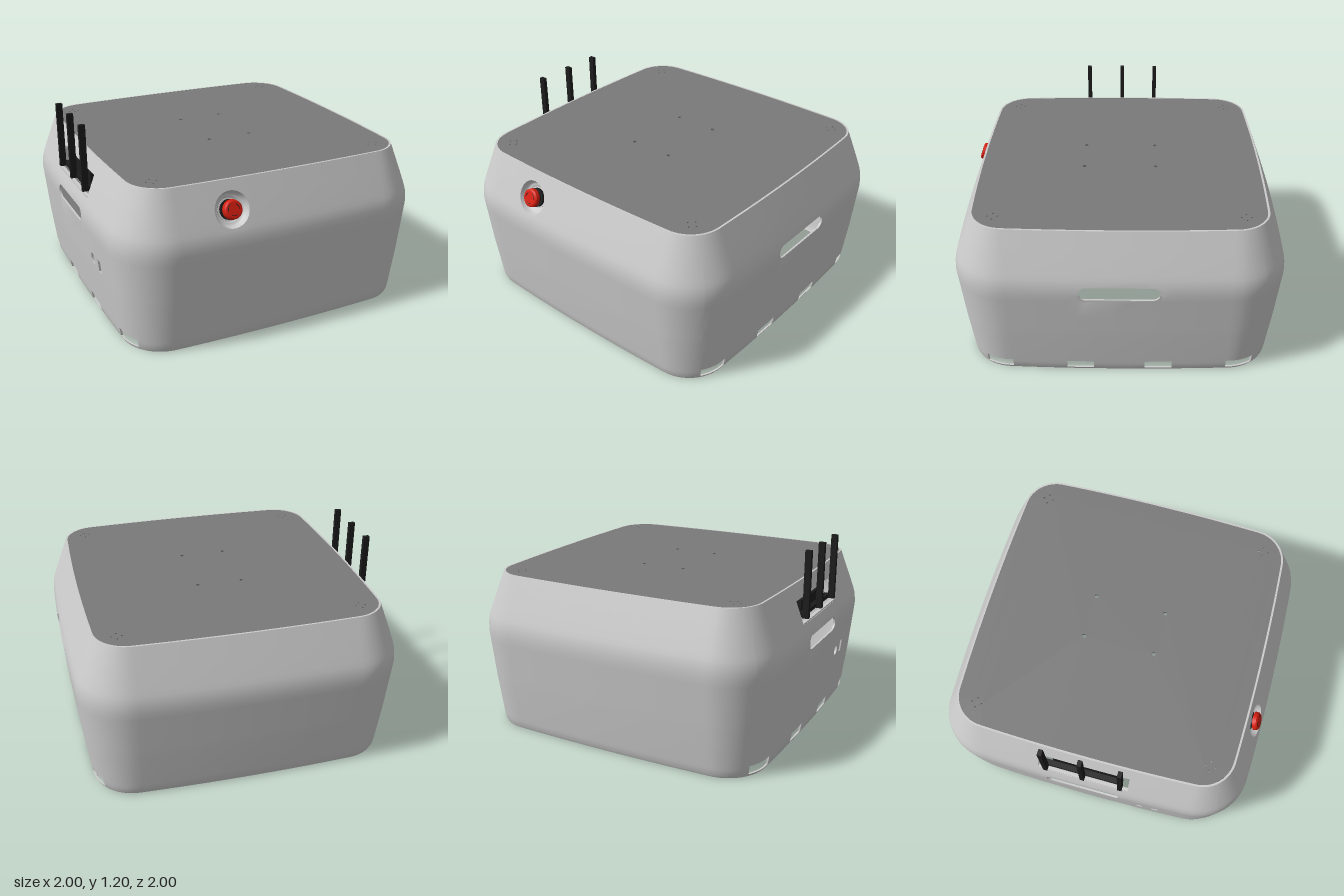
import * as THREE from 'three';
import { toCreasedNormals } from 'three/addons/utils/BufferGeometryUtils.js';

const HALF = 0.66, ARC = 0.48, PERIOD = 2 * HALF + ARC; // flat side, corner, one side + one corner
const CORNER = 0.325, BOW = 0.015, WALL = 0.012, TOP = 0.99;
const PROFILE = [[0, 0.075], [0.015, 0.068], [0.05, 0.062], [0.3, 0.031], [0.62, 0], [0.66, 0.002], [0.69, 0.006],
  [0.72, 0.014], [0.75, 0.025], [0.8, 0.043], [0.9, 0.081], [TOP, 0.115]];

const mat = (color, side = THREE.FrontSide) => new THREE.MeshStandardMaterial({ color, side });
const grey = mat(0xcccccc), black = mat(0x1c1c1c), red = mat(0xd81e10), darkGrey = mat(0x7a7a7a);

function mesh(name, geometry, material, x = 0, y = 0, z = 0) {
  const m = new THREE.Mesh(geometry, material);
  m.name = name;
  m.position.set(x, y, z);
  return m;
}

// Inset of the wall at height y
function insetAt(y) {
  const i = Math.max(1, PROFILE.findIndex((p) => p[0] >= y - 1e-6));
  const [y0, d0] = PROFILE[i - 1], [y1, d1] = PROFILE[i];
  return d0 + (d1 - d0) * (y - y0) / (y1 - y0);
}

// Point on the rounded-square wall: s runs round it (front, +x, back, -x)
function wallPoint(s, y, inward = 0) {
  const d = insetAt(y) + inward, k = Math.floor((s + HALF) / PERIOD + 1e-9), u = s - k * PERIOD;
  let x = u, z = 1 - BOW * (u / HALF) ** 2 - d;
  if (u > HALF) {
    const a = (u - HALF) / ARC * Math.PI / 2;
    x = HALF + (CORNER - d) * Math.sin(a);
    z = HALF + (CORNER - d) * Math.cos(a);
  }
  for (let i = 0; i < k % 4; i++) [x, z] = [z, -x];
  return new THREE.Vector3(x, y, z);
}

// Rounded outline in the (s, y) plane; radii equal to the half sizes give an ellipse
function ovalOutline(cx, cy, hw, hh, rx, ry, n = 10) {
  const pts = [];
  [[1, 1], [-1, 1], [-1, -1], [1, -1]].forEach(([sx, sy], q) => {
    for (let i = 0; i <= n; i++) {
      const a = (q + i / n) * Math.PI / 2;
      const p = new THREE.Vector2(cx + sx * (hw - rx) + rx * Math.cos(a), cy + sy * (hh - ry) + ry * Math.sin(a));
      if (!pts.length || pts[pts.length - 1].distanceTo(p) > 1e-5) pts.push(p);
    }
  });
  if (pts[0].distanceTo(pts[pts.length - 1]) < 1e-5) pts.pop();
  return pts;
}

// Wall areas left out of the grid; those with an outline are refilled round it
const dimple = ovalOutline(-0.34, 0.83, 0.105, 0.1, 0.105, 0.1, 10);
const patches = [{ r: [-0.46, -0.22, 0.72, 0.94], hole: dimple, open: true }];
for (const k of [1, 3]) {
  const c = k * PERIOD;
  patches.push({ r: [c - 0.25, c + 0.25, 0.575, 0.69], hole: ovalOutline(c, 0.632, 0.235, 0.043, 0.042, 0.042) });
  for (const [a, b] of [[-0.852, -0.65], [-0.32, -0.155], [0.155, 0.32], [0.65, 0.852]])
    patches.push({ r: [c + a, c + b, 0.015, 0.07] });
}
const west = 3 * PERIOD;
patches.push({ r: [west - 0.285, west + 0.285, 0.76, 0.9] }); // antenna window
patches.push({ r: [west + 0.31, west + 0.41, 0.35, 0.45], hole: ovalOutline(west + 0.36, 0.4, 0.032, 0.036, 0.032, 0.036) });
patches.push({ r: [west + 0.45, west + 0.49, 0.355, 0.435] });

const unique = (list) => [...new Set(list.map((v) => +v.toFixed(5)))].sort((a, b) => a - b);

function shellGeometry() {
  const sList = [4 * PERIOD - HALF], yList = PROFILE.map((p) => p[0]);
  for (let k = 0; k < 4; k++) {
    for (let i = 0; i < 11; i++) sList.push(k * PERIOD - HALF + i * 0.12);
    for (let j = 0; j < 12; j++) sList.push(k * PERIOD + HALF + j * ARC / 12);
  }
  for (const { r } of patches) { sList.push(r[0], r[1]); yList.push(r[2], r[3]); }
  const S = unique(sList), Y = unique(yList), pos = [];
  const tri = (...v) => v.forEach((p) => pos.push(p.x, p.y, p.z));
  const band = (outline, closed) => { // wall thickness along an edge
    for (let i = 0; i < outline.length - (closed ? 0 : 1); i++) {
      const p = outline[i], q = outline[(i + 1) % outline.length];
      const a = wallPoint(p.x, p.y), b = wallPoint(q.x, q.y);
      const c = wallPoint(q.x, q.y, WALL), d = wallPoint(p.x, p.y, WALL);
      tri(a, b, c); tri(a, c, d);
    }
  };
  const inside = (v, a, b) => v > a + 1e-4 && v < b - 1e-4;
  const face = (a, b, c) => {
    const at = (p, w) => wallPoint(p.x, p.y, w);
    tri(at(a, 0), at(b, 0), at(c, 0));
    tri(at(a, WALL), at(c, WALL), at(b, WALL));
  };
  const V = (x, y) => new THREE.Vector2(x, y);
  for (let i = 0; i < S.length - 1; i++) for (let j = 0; j < Y.length - 1; j++) {
    const sm = (S[i] + S[i + 1]) / 2, ym = (Y[j] + Y[j + 1]) / 2;
    if (patches.some(({ r }) => sm > r[0] && sm < r[1] && ym > r[2] && ym < r[3])) continue;
    const a = V(S[i], Y[j]), b = V(S[i + 1], Y[j]), c = V(S[i + 1], Y[j + 1]), d = V(S[i], Y[j + 1]);
    face(a, b, c); face(a, c, d);
  }
  for (const { r: [s0, s1, y0, y1], hole, open } of patches) {
    const ss = [s0, ...S.filter((s) => inside(s, s0, s1))], ys = [y0, ...Y.filter((y) => inside(y, y0, y1))];
    const rect = [...ss.map((s) => V(s, y0)), ...ys.map((y) => V(s1, y)),
      ...[...ss.slice(1), s1].reverse().map((s) => V(s, y1)), ...[...ys.slice(1), y1].reverse().map((y) => V(s0, y))];
    if (hole) {
      const all = [...rect, ...hole];
      for (const f of THREE.ShapeUtils.triangulateShape(rect, [hole.slice().reverse()])) {
        const n = rect.length, h = hole.length;
        const [a, b, c] = f.map((i) => (i < n ? all[i] : hole[h - 1 - (i - n)]));
        const ccw = (b.x - a.x) * (c.y - a.y) - (b.y - a.y) * (c.x - a.x) > 0;
        if (ccw) face(a, b, c); else face(a, c, b);
      }
    }
    if (!open) band(hole || rect, true);
  }
  band(S.map((s) => V(s, 0)));
  band(S.map((s) => V(s, TOP)));
  const g = new THREE.BufferGeometry();
  g.setAttribute('position', new THREE.Float32BufferAttribute(pos, 3));
  return toCreasedNormals(g, 0.5);
}

// Bowl from the opening in the wall to a round floor, in rings
function bowlGeometry(button) {
  const pos = [], index = [], n = dimple.length, rings = 6;
  for (let k = 0; k <= rings; k++) dimple.forEach((p) => {
    const t = k / rings, a = Math.atan2((p.y - 0.83) / 0.1, (p.x + 0.34) / 0.105);
    const floor = button.localToWorld(new THREE.Vector3(0.066 * Math.cos(a), 0.066 * Math.sin(a), -0.05));
    const q = wallPoint(p.x, p.y).lerp(floor, t);
    q.addScaledVector(new THREE.Vector3(0, 0.34, 0.94), -0.03 * Math.sin(Math.PI * t) * (1 - t));
    pos.push(q.x, q.y, q.z);
  });
  for (let k = 0; k < rings; k++) for (let i = 0; i < n; i++) {
    const a = k * n + i, b = k * n + (i + 1) % n;
    index.push(a, b, b + n, a, b + n, a + n);
  }
  const g = new THREE.BufferGeometry();
  g.setAttribute('position', new THREE.Float32BufferAttribute(pos, 3));
  g.setIndex(index);
  g.computeVertexNormals();
  return g;
}

function topPlateGeometry() {
  const pts = [];
  for (let i = 0; i < 96; i++) {
    const p = wallPoint(-HALF + i * 4 * PERIOD / 96, TOP, WALL);
    pts.push(new THREE.Vector2(p.x, -p.z));
  }
  const shape = new THREE.Shape(pts);
  const drill = (x, y, r) => shape.holes.push(new THREE.Path().absarc(x, y, r, 0, Math.PI * 2, true));
  for (const sx of [-1, 1]) for (const sy of [-1, 1]) {
    drill(sx * 0.14, sy * 0.225, 0.013);
    for (const [dx, dy] of [[0.03, 0], [-0.03, 0], [0, 0.03], [0, -0.03]]) drill(sx * 0.73 + dx, sy * 0.73 + dy, 0.006);
  }
  return new THREE.ExtrudeGeometry(shape, { depth: 0.015, bevelEnabled: false, curveSegments: 8 }).rotateX(-Math.PI / 2);
}

export function createModel() {
  const model = new THREE.Group();
  model.name = 'cover';
  model.add(mesh('shell', shellGeometry(), mat(0xcccccc, THREE.DoubleSide)));
  model.add(mesh('topPlate', topPlateGeometry(), darkGrey, 0, 0.972, 0));

  // Stop button, tilted with the sloping wall; its local z points outward
  const button = new THREE.Group();
  button.name = 'stopButton';
  button.position.copy(wallPoint(-0.34, 0.83));
  button.rotation.x = -0.36;
  button.updateMatrixWorld();
  const disc = (name, r0, r1, h, z, m) => button.add(mesh(name, new THREE.CylinderGeometry(r0, r1, h, 32).rotateX(Math.PI / 2), m, 0, 0, z));
  disc('buttonFloor', 0.067, 0.067, 0.008, -0.052, grey);
  disc('buttonCollar', 0.058, 0.058, 0.02, -0.04, black);
  disc('buttonStem', 0.042, 0.046, 0.04, -0.02, black);
  disc('buttonCap', 0.055, 0.058, 0.022, 0.003, red);
  disc('buttonFace', 0.046, 0.055, 0.007, 0.0175, red);
  for (let i = 0; i < 3; i++) {
    const mark = mesh('turnMark', new THREE.TorusGeometry(0.034, 0.003, 6, 10, 1.1), black, 0, 0, 0.0195);
    mark.rotation.z = i * Math.PI * 2 / 3;
    button.add(mark);
  }
  button.add(mesh('buttonHousing', new THREE.BoxGeometry(0.13, 0.13, 0.12), grey, 0, 0, -0.116));
  model.add(mesh('buttonBowl', bowlGeometry(button), mat(0xcccccc, THREE.DoubleSide)), button);

  // Router inside the wall with three upright antennas
  const router = new THREE.Group();
  router.name = 'router';
  router.add(mesh('routerBody', new THREE.BoxGeometry(0.49, 0.085, 0.4), black, -0.67, 0.838, 0));
  router.add(mesh('hingeBar', new THREE.BoxGeometry(0.035, 0.025, 0.49), black, -0.93, 0.805, 0));
  router.add(mesh('windowLedge', new THREE.BoxGeometry(0.022, 0.012, 0.57), grey, -0.957, 0.764, 0));
  for (const z of [-0.235, 0, 0.238])
    router.add(mesh('antenna', new THREE.BoxGeometry(0.038, 0.41, 0.026), black, -0.962, 0.995, z));
  model.add(router);
  return model;
}
